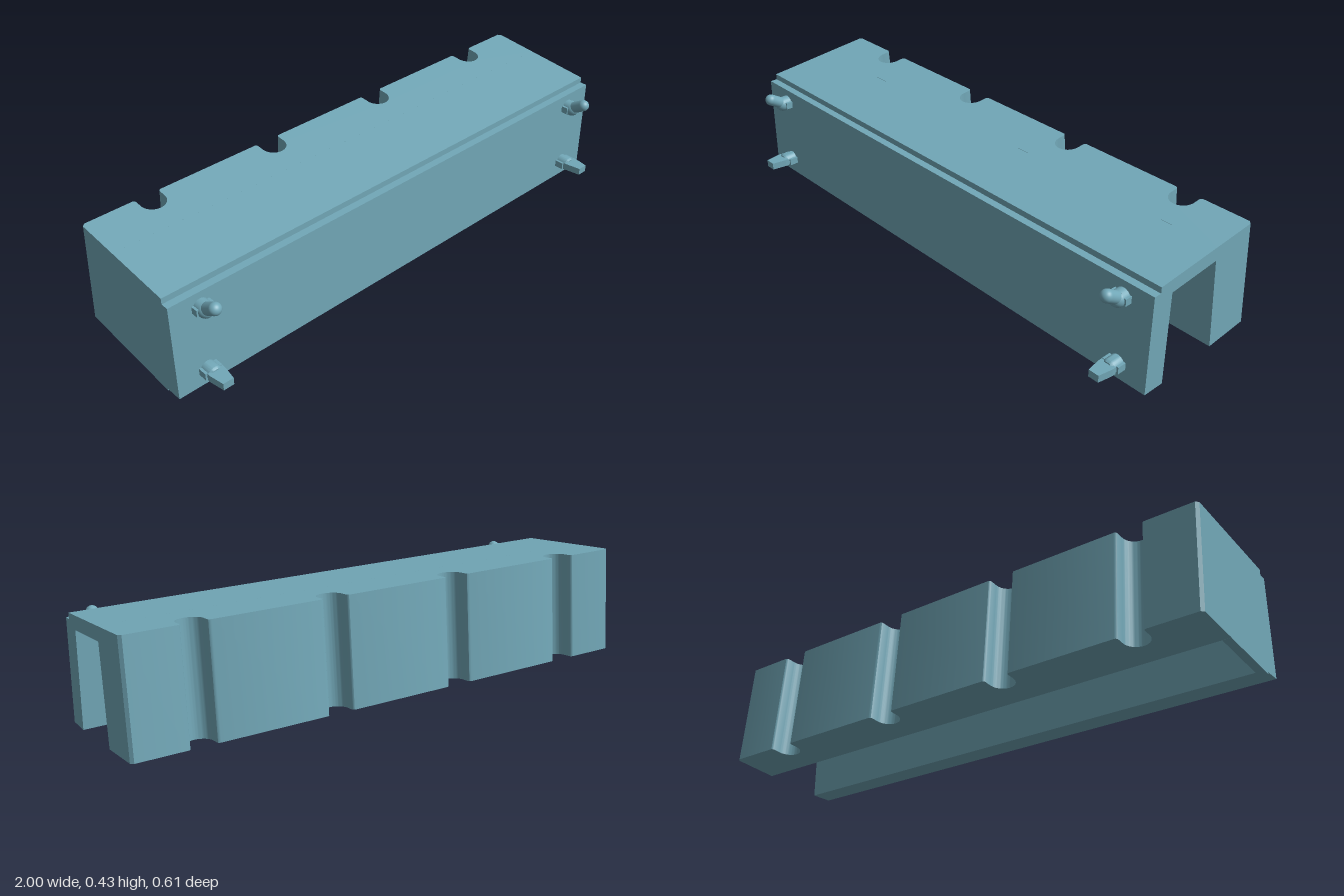
import * as THREE from 'three';
import { toCreasedNormals } from 'three/addons/utils/BufferGeometryUtils.js';

const material = new THREE.MeshStandardMaterial({ color: 0x72a8b8 });

function add(parent, name, geometry, x = 0, y = 0, z = 0) {
  const mesh = new THREE.Mesh(geometry, material);
  mesh.name = name;
  mesh.position.set(x, y, z);
  parent.add(mesh);
  return mesh;
}

// Extrudes a side profile given as [z, y] points from x0 to x1.
function sideExtrude(points, x0, x1) {
  const shape = new THREE.Shape(points.map(([z, y]) => new THREE.Vector2(-z, y)));
  return new THREE.ExtrudeGeometry(shape, { depth: x1 - x0, bevelEnabled: false })
    .rotateY(Math.PI / 2).translate(x0, 0, 0);
}

// Rear block outline: straight front, rounded slots along the back.
function rearBlock(thickness, height) {
  const s = new THREE.Shape();
  const w = 0.046, depth = 0.083, lip = 0.01, c = 0.01;
  s.moveTo(-1, -thickness);
  s.lineTo(1, -thickness);
  s.lineTo(1, -c);
  s.lineTo(1 - c, 0);
  for (const x of [0.757, 0.252, -0.252, -0.757]) {
    s.lineTo(x + w + lip, 0);
    s.absarc(x + w + lip, -lip, lip, Math.PI / 2, Math.PI, false);
    s.absarc(x, w - depth, w, 0, Math.PI, true);
    s.absarc(x - w - lip, -lip, lip, 0, Math.PI / 2, false);
  }
  s.lineTo(-1 + c, 0);
  s.lineTo(-1, -c);
  s.closePath();
  const g = new THREE.ExtrudeGeometry(s, { depth: height, bevelEnabled: false, curveSegments: 16 });
  return toCreasedNormals(g.rotateX(-Math.PI / 2), 0.5);
}

// Round collar with small side barbs, pointing along +z.
function addCollar(group, y, length, tipRadius) {
  const profile = [[0, 0], [0.027, 0], [0.027, length - 0.008], [tipRadius, length], [0, length]]
    .map(([r, h]) => new THREE.Vector2(r, h));
  const collar = toCreasedNormals(new THREE.LatheGeometry(profile, 24).rotateX(Math.PI / 2), 0.6);
  add(group, 'pegCollar', collar, 0, y, 0.195);
  for (const side of [-1, 1])
    add(group, 'pegBarb', new THREE.BoxGeometry(0.012, 0.026, 0.034), side * 0.027, y, 0.212);
}

function pegPair(x) {
  const group = new THREE.Group();
  group.name = 'pegPair';
  group.position.x = x;

  // Upper hook: collar, elbow and raised round-ended arm
  const y = 0.322;
  const stub = new THREE.CylinderGeometry(0.028, 0.028, 0.026, 24).rotateX(Math.PI / 2);
  add(group, 'hookCollar', stub, 0, y, 0.207);
  add(group, 'hookElbow', new THREE.SphereGeometry(0.028, 24, 16), 0, y, 0.22);
  for (const side of [-1, 1])
    add(group, 'hookBarb', new THREE.BoxGeometry(0.012, 0.026, 0.026), side * 0.027, y, 0.208);
  const from = new THREE.Vector3(0, 0.327, 0.223), to = new THREE.Vector3(0, 0.356, 0.271);
  const dir = to.clone().sub(from);
  const arm = add(group, 'hookArm', new THREE.CapsuleGeometry(0.022, dir.length(), 10, 24));
  arm.position.copy(from).add(to).multiplyScalar(0.5);
  arm.quaternion.setFromUnitVectors(new THREE.Vector3(0, 1, 0), dir.normalize());

  // Lower peg: collar with a flat tapered tongue
  addCollar(group, 0.07, 0.048, 0.022);
  const tongue = new THREE.Shape([[-0.029, 0.235], [0.029, 0.235], [0.029, 0.25], [0.02, 0.305],
    [-0.02, 0.305], [-0.029, 0.25]].map(([px, pz]) => new THREE.Vector2(px, -pz)));
  const tongueGeo = new THREE.ExtrudeGeometry(tongue, { depth: 0.027, bevelEnabled: false })
    .rotateX(-Math.PI / 2);
  add(group, 'pegTongue', tongueGeo, 0, 0.06, 0);
  return group;
}

export function createModel() {
  const model = new THREE.Group();
  model.name = 'slottedHolder';

  // Mounting plate and sloping roof as one profile
  const plateAndRoof = [[0.195, 0.007], [0.195, 0.375], [0.167, 0.375], [0.167, 0.397],
    [-0.09, 0.4195], [-0.095, 0.37], [0.112, 0.352], [0.112, 0.007]];
  add(model, 'plateAndRoof', sideExtrude(plateAndRoof, -1, 1));

  // Closed end of the channel
  const endWall = [[0.132, 0], [0.132, 0.007], [0.112, 0.007], [0.112, 0.352],
    [-0.095, 0.37], [-0.125, 0.024]];
  add(model, 'endWall', sideExtrude(endWall, -1, -0.97));

  // Leaning rear block with four vertical slots
  const rear = add(model, 'slottedRearBlock', rearBlock(0.178, 0.3965), 0, 0.04, -0.302);
  rear.rotation.x = THREE.MathUtils.degToRad(5);

  // Mounting pegs near both ends
  for (const side of [-1, 1]) model.add(pegPair(side * 0.885));

  return model;
}
